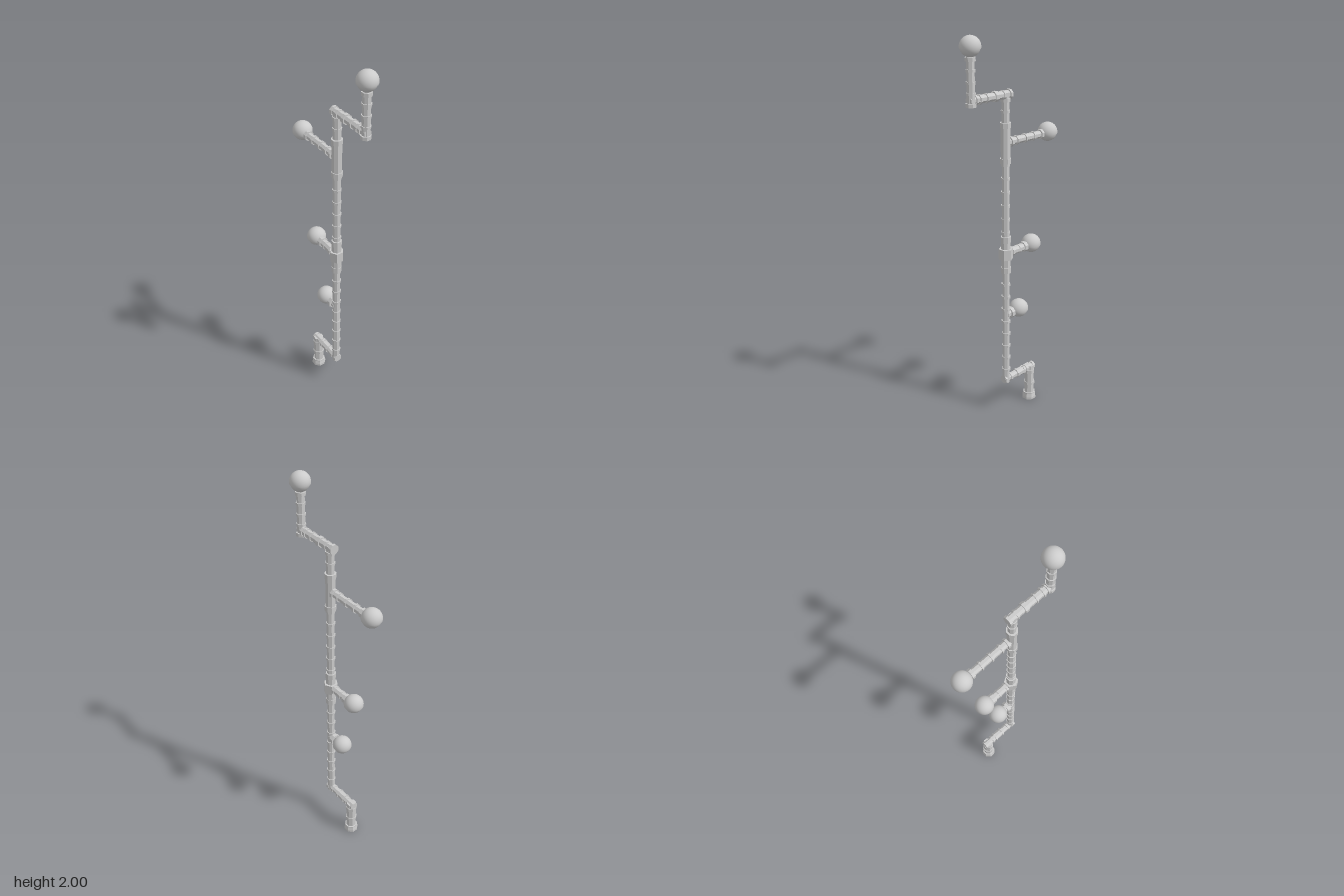
import * as THREE from 'three';

const mat = new THREE.MeshStandardMaterial({ color: 0xcccccc, flatShading: true });
const smooth = new THREE.MeshStandardMaterial({ color: 0xcccccc });
const SIDES = 8;

// Octagonal or hexagonal prism from one position to another along an axis
function prism(group, name, axis, from, to, r, sides = SIDES) {
  const geo = new THREE.CylinderGeometry(r, r, to - from, sides);
  geo.rotateY(sides === SIDES ? Math.PI / 8 : Math.PI / 2);
  if (axis === 'z') geo.rotateX(Math.PI / 2);
  const mesh = new THREE.Mesh(geo, mat);
  mesh.name = name;
  mesh.position[axis] = (from + to) / 2;
  group.add(mesh);
}

// Pipe with collars; each collar is [centre, length, radius]
function pipe(name, axis, y, z, from, to, r, collars) {
  const g = new THREE.Group();
  g.name = name;
  g.position.set(0, axis === 'y' ? 0 : y, axis === 'z' ? 0 : z);
  prism(g, 'tube', axis, from, to, r);
  for (const [c, len, cr] of collars) prism(g, 'collar', axis, c - len / 2, c + len / 2, cr);
  return g;
}

// Round bulb: full upper shell overlapping a slightly smaller lower shell
function bulb(y, z) {
  const g = new THREE.Group();
  g.name = 'bulb';
  g.position.set(0, y, z);
  const seam = Math.PI * 0.56;
  const upper = new THREE.Mesh(new THREE.SphereGeometry(0.05, 28, 14, 0, Math.PI * 2, 0, seam), smooth);
  upper.name = 'upperShell';
  const lower = new THREE.Mesh(new THREE.SphereGeometry(0.047, 28, 18), smooth);
  lower.name = 'lowerShell';
  // Lip closing the step between the shells
  const lip = new THREE.Mesh(new THREE.RingGeometry(0.044, 0.05 * Math.sin(seam), 28), smooth);
  lip.name = 'lip';
  lip.rotation.x = Math.PI / 2;
  lip.position.y = 0.05 * Math.cos(seam);
  g.add(upper, lower, lip);
  return g;
}

export function createModel() {
  const model = new THREE.Group();
  model.name = 'pipeLamp';
  const postZ = 0.04;

  // Main post with evenly spaced thin rings
  const rings = [];
  for (let y = 0.25; y < 1.4; y += 0.07) rings.push([y, 0.012, 0.024]);
  const post = pipe('mainPost', 'y', 0, postZ, 0.17, 1.72, 0.02, [
    ...rings,
    [0.82, 0.03, 0.027], [0.855, 0.05, 0.025], [0.985, 0.03, 0.027], [0.95, 0.06, 0.025],
    [1.48, 0.19, 0.025], [1.39, 0.025, 0.029], [1.565, 0.025, 0.029],
    [1.63, 0.012, 0.024], [1.685, 0.015, 0.025]
  ]);
  prism(post, 'hexCoupling', 'y', 0.88, 0.935, 0.037, 6);
  model.add(post);

  // Foot pipe with a stepped base and a recessed underside
  const foot = pipe('footPipe', 'y', 0, -0.14, 0.012, 0.2, 0.027,
    [[0.095, 0.014, 0.031], [0.165, 0.02, 0.03], [0.03, 0.014, 0.034]]);
  const profile = [[0, 0.012], [0.022, 0.012], [0.022, 0], [0.038, 0], [0.038, 0.012], [0.033, 0.035], [0, 0.035]];
  const base = new THREE.Mesh(
    new THREE.LatheGeometry(profile.map(([x, y]) => new THREE.Vector2(x, y)), SIDES, Math.PI / 8), mat);
  base.name = 'base';
  foot.add(base);
  model.add(foot);

  // Arm joining the foot to the post
  model.add(pipe('lowerElbowArm', 'z', 0.19, 0, -0.165, 0.06, 0.019, [
    [-0.158, 0.014, 0.023], [-0.105, 0.012, 0.023], [-0.06, 0.05, 0.022],
    [-0.085, 0.01, 0.025], [-0.035, 0.01, 0.025], [0.012, 0.012, 0.023], [0.052, 0.014, 0.023]
  ]));

  // Arm and riser at the top
  model.add(pipe('upperElbowArm', 'z', 1.71, 0, 0.01, 0.275, 0.02, [
    [0.017, 0.014, 0.025], [0.06, 0.01, 0.024], [0.11, 0.022, 0.026],
    [0.17, 0.008, 0.025], [0.212, 0.01, 0.025], [0.237, 0.01, 0.025]
  ]));
  model.add(pipe('upperRiser', 'y', 0, 0.26, 1.68, 1.93, 0.02, [
    [1.69, 0.018, 0.026], [1.74, 0.01, 0.024], [1.79, 0.012, 0.024],
    [1.845, 0.012, 0.024], [1.895, 0.018, 0.026]
  ]));
  model.add(bulb(1.95, 0.26));

  // Rear branches: height, bulb position, tube radius, collars
  const branches = [
    [1.48, -0.26, 0.019, [[0.008, 0.014, 0.026], [-0.03, 0.01, 0.024], [-0.09, 0.01, 0.024],
      [-0.15, 0.01, 0.024], [-0.205, 0.016, 0.026]]],
    [0.91, -0.145, 0.021, [[0, 0.012, 0.025], [-0.05, 0.01, 0.024], [-0.09, 0.022, 0.027]]],
    [0.57, -0.055, 0.022, [[0.008, 0.02, 0.03]]]
  ];
  for (const [y, z, r, collars] of branches) {
    model.add(pipe('branchArm', 'z', y, 0, z + 0.02, postZ, r, collars));
    model.add(bulb(y + 0.004, z));
  }
  return model;
}
